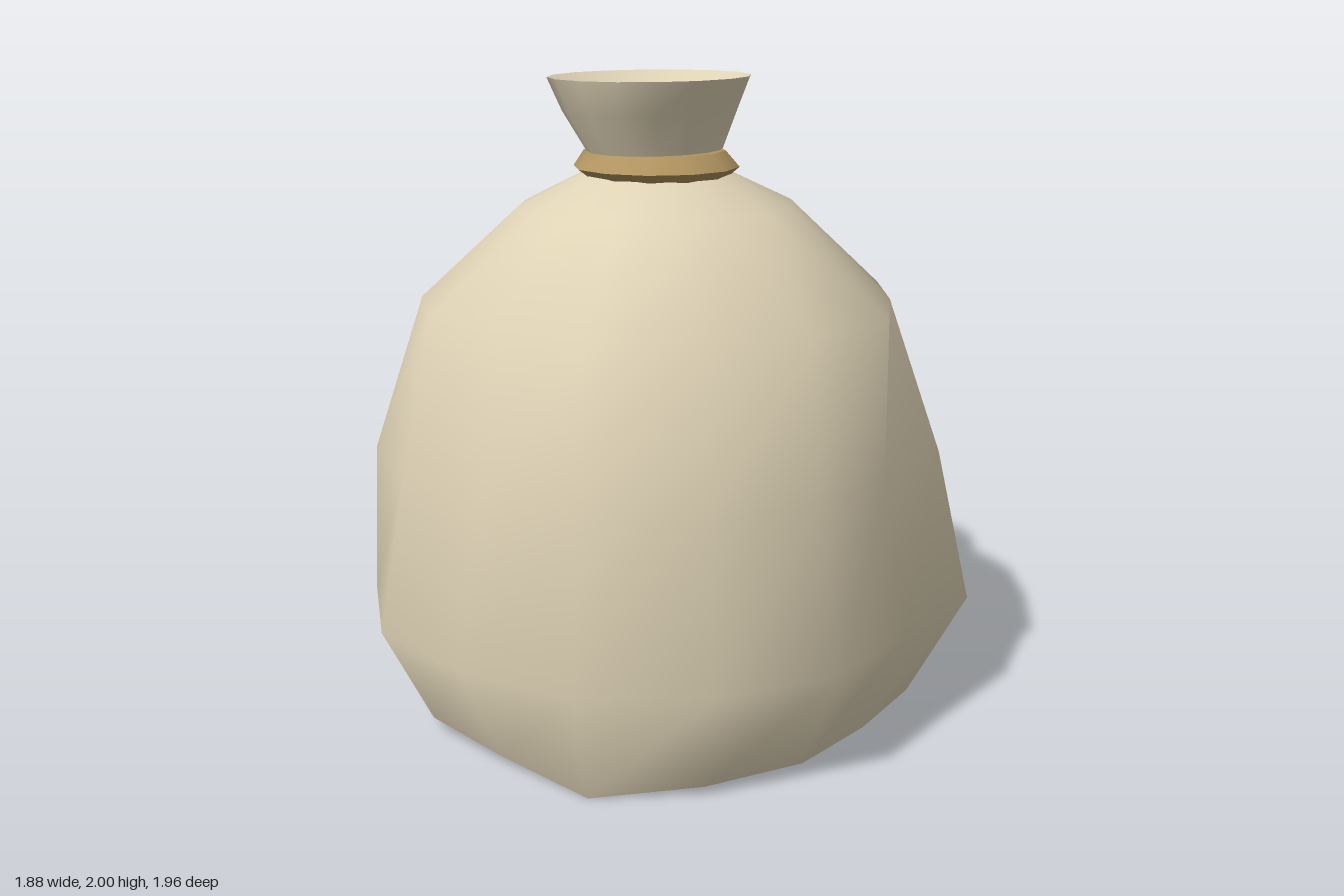
import * as THREE from 'three';

const SEG = 16;
const TURN = THREE.MathUtils.degToRad(-5);

// Ring of points running from +x towards +z; r and y may vary around it.
function lumpyRing(y, r) {
  return r.map((radius, k) => {
    const a = TURN + (k / r.length) * Math.PI * 2;
    return [radius * Math.cos(a), Array.isArray(y) ? y[k] : y, radius * Math.sin(a)];
  });
}

// Oval ring with its own centre.
function ovalRing(y, cx, cz, rx, rz, n = SEG) {
  return Array.from({ length: n }, (_, k) => {
    const a = TURN + (k / n) * Math.PI * 2;
    return [cx + rx * Math.cos(a), y, cz + rz * Math.sin(a)];
  });
}

// Smooth skin joining successive rings.
function loft(name, rings, material) {
  const n = rings[0].length;
  const index = [];
  for (let i = 0; i < rings.length - 1; i++) {
    for (let k = 0; k < n; k++) {
      const a = i * n + k;
      const b = i * n + ((k + 1) % n);
      index.push(a, a + n, b, b, a + n, b + n);
    }
  }
  const geometry = new THREE.BufferGeometry();
  geometry.setAttribute('position', new THREE.Float32BufferAttribute(rings.flat(2), 3));
  geometry.setIndex(index);
  geometry.computeVertexNormals();
  const mesh = new THREE.Mesh(geometry, material);
  mesh.name = name;
  return mesh;
}

export function createModel() {
  const cloth = new THREE.MeshStandardMaterial({ color: 0xdfd3b6 });
  cloth.name = 'sack cloth';
  const rope = new THREE.MeshStandardMaterial({ color: 0xb0935f });
  rope.name = 'tie brown';

  const group = new THREE.Group();
  group.name = 'tiedSack';

  // Sagging body, widest near the ground, on an uneven bottom edge
  const base = lumpyRing(
    [0.03, 0.03, 0.03, 0, 0.03, 0.05, 0.04, 0.055, 0.03, 0.06, 0.05, 0.015, 0.03, 0.02, 0.02, 0.03],
    [0.79, 0.82, 0.85, 0.875, 0.8, 0.82, 0.8, 0.81, 0.81, 0.82, 0.78, 0.84, 0.83, 0.84, 0.84, 0.84]);
  group.add(loft('sackBody', [
    base,
    lumpyRing(0.37, [0.92, 0.984, 1.0, 1.01, 0.977, 0.98, 0.92, 0.89, 0.89, 0.86, 0.89, 0.905, 0.99, 0.975, 1.0, 1.02]),
    lumpyRing(0.85, [0.835, 0.87, 0.89, 0.92, 0.86, 0.89, 0.9, 0.89, 0.945, 0.87, 0.88, 0.89, 0.85, 0.88, 0.92, 0.91]),
    lumpyRing(1.33, [0.83, 0.83, 0.855, 0.885, 0.795, 0.79, 0.74, 0.7, 0.67, 0.67, 0.68, 0.69, 0.68, 0.71, 0.73, 0.74]),
    ovalRing(1.61, 0.025, 0.03, 0.41, 0.455),
    ovalRing(1.7, 0.02, 0.025, 0.24, 0.25),
    ovalRing(1.73, 0.015, 0.02, 0.18, 0.21),
  ], cloth));

  // Flat underside
  group.add(loft('sackBase', [ovalRing(0.03, 0, 0, 0, 0), base], cloth));

  // Flared neck above the tie, and its shallow mouth
  const rim = ovalRing(2, 0, 0.03, 0.293, 0.343);
  group.add(loft('sackNeck', [
    ovalRing(1.7, 0.01, 0.015, 0.18, 0.21),
    ovalRing(1.77, 0.01, 0.015, 0.19, 0.235),
    ovalRing(1.9, 0.005, 0.03, 0.243, 0.308),
    rim,
  ], cloth));
  group.add(loft('sackMouth', [
    rim,
    ovalRing(1.93, 0, 0.025, 0.16, 0.19),
    ovalRing(1.9, 0, 0.02, 0, 0),
  ], cloth));

  // Tie around the neck: sloping upper band and undercut lower band
  const widest = ovalRing(1.727, 0.035, 0.042, 0.257, 0.26, 12);
  group.add(loft('neckTieLower', [
    ovalRing(1.69, 0.035, 0.035, 0.21, 0.215, 12),
    widest,
  ], rope));
  group.add(loft('neckTieUpper', [
    widest,
    ovalRing(1.775, 0.02, 0.033, 0.218, 0.225, 12),
  ], rope));
  group.add(loft('neckTieTop', [
    ovalRing(1.775, 0.02, 0.033, 0.218, 0.225, 12),
    ovalRing(1.775, 0.015, 0.02, 0.15, 0.18, 12),
  ], rope));

  return group;
}
